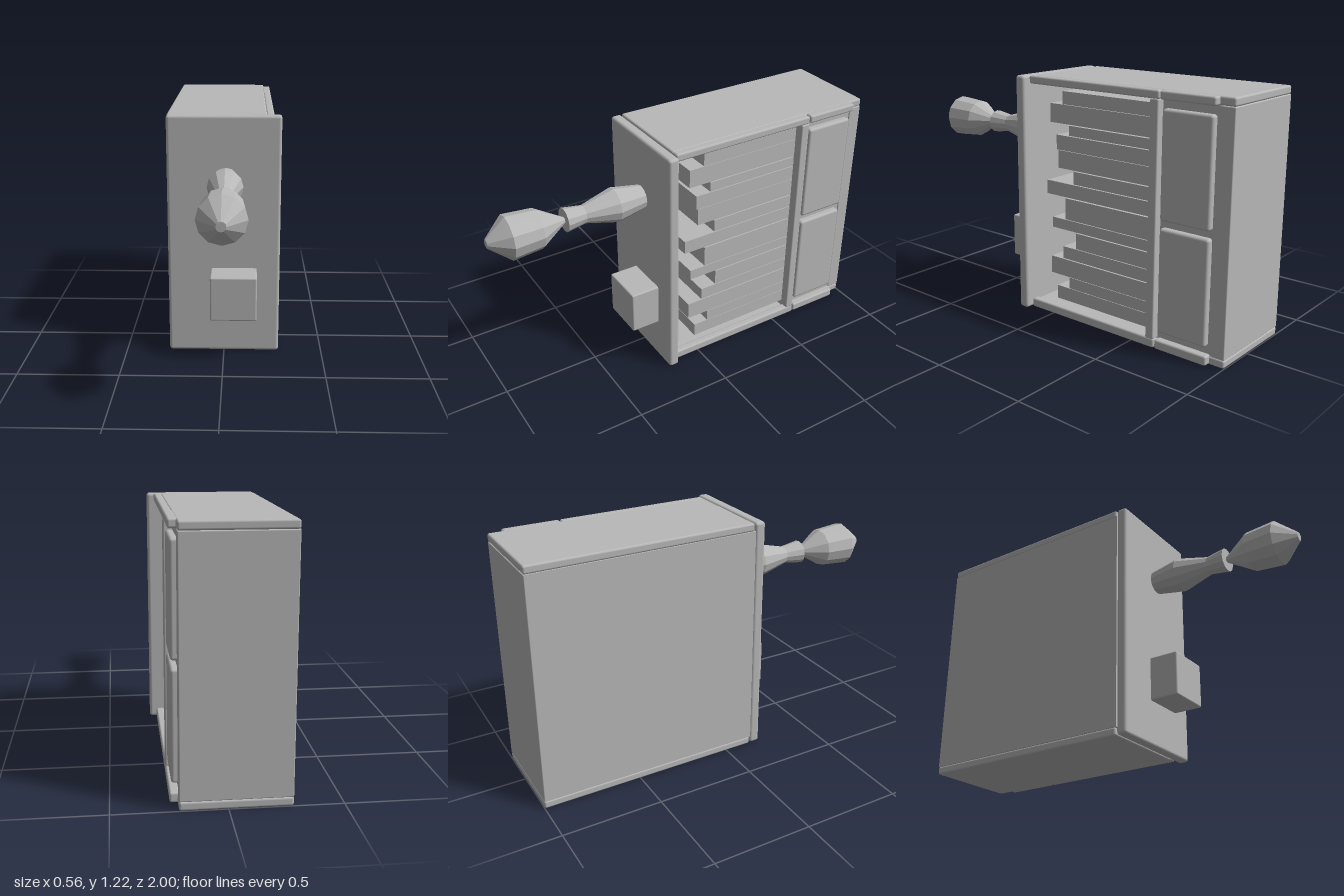
import * as THREE from 'three';
import { RoundedBoxGeometry } from 'three/addons/geometries/RoundedBoxGeometry.js';

export function createModel() {
  const model = new THREE.Group();
  model.name = 'cabinet';
  const grey = new THREE.MeshStandardMaterial({ color: 0xb8b8b8 });
  grey.name = 'plain grey';

  // Box given by its limits on each axis, with an optional edge radius
  function box(name, [x0, x1], [y0, y1], [z0, z1], radius = 0) {
    const size = [x1 - x0, y1 - y0, z1 - z0];
    const geometry = radius
      ? new RoundedBoxGeometry(...size, 3, radius)
      : new THREE.BoxGeometry(...size);
    const mesh = new THREE.Mesh(geometry, grey);
    mesh.name = name;
    mesh.position.set((x0 + x1) / 2, (y0 + y1) / 2, (z0 + z1) / 2);
    model.add(mesh);
  }

  // Faceted turned part along z, profile as [radius, z]
  function turned(name, profile) {
    const points = profile.map(([r, z]) => new THREE.Vector2(r, z));
    const geometry = new THREE.LatheGeometry(points, 12).rotateX(Math.PI / 2).toNonIndexed();
    geometry.computeVertexNormals();
    const mesh = new THREE.Mesh(geometry, grey);
    mesh.name = name;
    mesh.position.set(0.01, 0.905, 0);
    model.add(mesh);
  }

  // Case: front plate, top, base, closed left side and back
  box('frontPlate', [-0.28, 0.28], [0, 1.22], [0.145, 0.2], 0.015);
  box('topPanel', [-0.28, 0.21], [1.18, 1.22], [-1, 0.14], 0.01);
  box('basePanel', [-0.28, 0.21], [0, 0.04], [-1, 0.14], 0.01);
  box('leftPanel', [-0.28, -0.24], [0.04, 1.18], [-0.995, 0.145]);
  box('backPanel', [-0.28, 0.21], [0.04, 1.18], [-1, -0.93], 0.005);

  // Edge rails along the open right side, and the upright between its two bays
  for (const [name, y] of [['topRail', [1.18, 1.22]], ['bottomRail', [0.003, 0.05]]]) {
    box(name + 'Front', [0.205, 0.245], y, [-0.638, 0.14], 0.01);
    box(name + 'Rear', [0.2, 0.245], y, [-0.925, -0.642], 0.01);
  }
  box('partition', [-0.24, 0.205], [0.04, 1.18], [-0.634, -0.59]);
  box('upright', [0.19, 0.245], [0.045, 1.182], [-0.636, -0.59], 0.008);

  // Two drawers in the rear bay
  box('drawerBay', [-0.24, 0.205], [0.04, 1.18], [-0.93, -0.636]);
  for (const y of [0.085, 0.63]) {
    box('drawerFront', [0.19, 0.237], [y, y + 0.51], [-0.912, -0.65], 0.014);
  }

  // Stacked slabs of uneven length in the front bay: [bottom, top, front]
  const slabs = [
    [0.075, 0.145, 0], [0.147, 0.205, -0.08], [0.207, 0.297, 0.04], [0.302, 0.365, -0.04],
    [0.368, 0.45, -0.125], [0.455, 0.508, 0.03], [0.511, 0.62, -0.055], [0.626, 0.696, 0.065],
    [0.7, 0.765, -0.11], [0.77, 0.86, -0.01], [0.862, 0.936, 0], [0.94, 0.99, -0.08],
    [0.995, 1.089, 0.04], [1.091, 1.155, -0.04],
  ];
  for (const [bottom, top, front] of slabs) {
    box('slab', [-0.24, 0.2], [bottom, top], [-0.59, front]);
  }

  // Front block and turned handle
  box('frontBlock', [-0.065, 0.165], [0.225, 0.45], [0.19, 0.35], 0.008);
  turned('handleStem', [[0.06, 0.195], [0.087, 0.35], [0.045, 0.515], [0.06, 0.615], [0, 0.615]]);
  turned('handleKnob', [[0, 0.61], [0.012, 0.61], [0.098, 0.75], [0.11, 0.9], [0.022, 1], [0, 1]]);

  return model;
}
